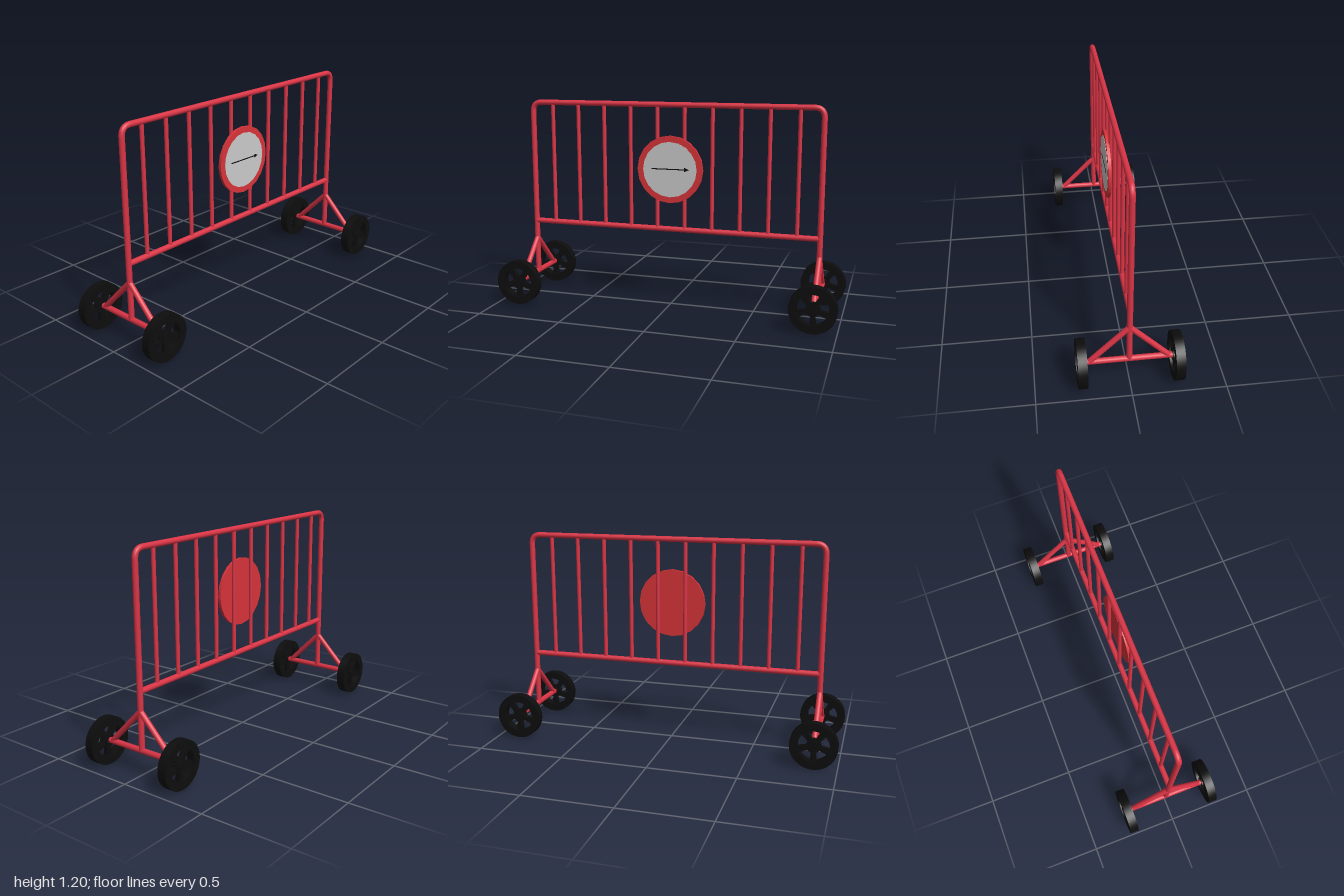
import * as THREE from 'three';
import { toCreasedNormals } from 'three/addons/utils/BufferGeometryUtils.js';

const V = (x, y, z) => new THREE.Vector3(x, y, z);

export function createModel() {
  const model = new THREE.Group();
  const red = new THREE.MeshStandardMaterial({ name: 'red paint', color: 0xd93445 });
  const signRed = new THREE.MeshStandardMaterial({ name: 'sign red', color: 0xd8343a });
  const black = new THREE.MeshStandardMaterial({ name: 'black rubber', color: 0x0d0d0d });
  const grey = new THREE.MeshStandardMaterial({ name: 'sign face grey', color: 0xcbcbcb });

  function add(name, geometry, material, parent = model) {
    const mesh = new THREE.Mesh(geometry, material);
    mesh.name = name;
    parent.add(mesh);
    return mesh;
  }

  // Straight round bar between two points
  function bar(name, a, b, radius) {
    const dir = b.clone().sub(a);
    const mesh = add(name, new THREE.CylinderGeometry(radius, radius, dir.length(), 16), red);
    mesh.position.copy(a).add(b).multiplyScalar(0.5);
    mesh.quaternion.setFromUnitVectors(V(0, 1, 0), dir.normalize());
  }

  // Hoop: two posts joined by a top rail with rounded corners
  const X = 0.867, TOP = 1.183, R = 0.016, C = 0.055, AXLE = 0.135;
  const corner = (s) => new THREE.QuadraticBezierCurve3(
    V(s * X, TOP - C, 0), V(s * X, TOP, 0), V(s * (X - C), TOP, 0));
  for (const s of [-1, 1]) {
    bar('post', V(s * X, AXLE, 0), V(s * X, TOP - C, 0), R);
    add('topCorner', new THREE.TubeGeometry(corner(s), 8, R, 16), red);
  }
  bar('topRail', V(C - X, TOP, 0), V(X - C, TOP, 0), R);
  bar('bottomRail', V(-X, 0.457, 0), V(X, 0.457, 0), R);

  // Upright infill bars
  for (let i = 0; i < 10; i++) {
    const x = (i - 4.5) * 0.164;
    bar('infillBar', V(x, 0.457, 0), V(x, TOP, 0), 0.0115);
  }

  // Wheel shapes: a plain tyre ring and a thinner disc with five openings
  const tyreShape = new THREE.Shape().absarc(0, 0, 0.131, 0, Math.PI * 2, false);
  tyreShape.holes.push(new THREE.Path().absarc(0, 0, 0.088, 0, Math.PI * 2, true));
  const discShape = new THREE.Shape().absarc(0, 0, 0.092, 0, Math.PI * 2, false);
  for (let i = 0; i < 5; i++) {
    const mid = Math.PI / 2 + i * Math.PI * 2 / 5;
    const hole = new THREE.Path();
    hole.absarc(0, 0, 0.086, mid - 0.42, mid + 0.42, false);
    hole.absarc(0, 0, 0.04, mid + 0.3, mid - 0.3, true);
    hole.closePath();
    discShape.holes.push(hole);
  }
  const extrude = (shape, depth, curveSegments) => toCreasedNormals(
    new THREE.ExtrudeGeometry(shape, { depth, curveSegments, bevelEnabled: false })
      .translate(0, 0, -depth / 2), 0.6);
  const tyreGeometry = extrude(tyreShape, 0.05, 20);
  const discGeometry = extrude(discShape, 0.026, 10);
  const hubGeometry = new THREE.CylinderGeometry(0.03, 0.03, 0.046, 16).rotateX(Math.PI / 2);

  // Feet: axle, two slanted braces and two wheels at each end
  for (const sx of [-1, 1]) {
    bar('axle', V(sx * X, AXLE, -0.235), V(sx * X, AXLE, 0.235), R);
    for (const sz of [-1, 1]) {
      bar('brace', V(sx * X, 0.35, 0), V(sx * X, AXLE, sz * 0.212), 0.0155);
      const wheel = new THREE.Group();
      wheel.name = 'wheel';
      wheel.position.set(sx * 0.869, 0.131, sz * 0.252);
      add('tyre', tyreGeometry, black, wheel);
      add('spokes', discGeometry, black, wheel);
      add('hub', hubGeometry, black, wheel);
      model.add(wheel);
    }
  }

  // Round sign on the front of the bars
  const sign = new THREE.Group();
  sign.name = 'sign';
  sign.position.set(0, 0.812, 0);
  model.add(sign);
  const disc = (name, r, z0, z1, material) => add(name,
    new THREE.CylinderGeometry(r, r, z1 - z0, 20).rotateX(Math.PI / 2)
      .translate(0, 0, (z0 + z1) / 2), material, sign);
  disc('signPlate', 0.196, 0.008, 0.025, signRed);
  disc('signFace', 0.161, 0.024, 0.027, grey);

  // Thin painted arrow
  add('arrowShaft', new THREE.BoxGeometry(0.2, 0.006, 0.002), black, sign).position.set(-0.008, 0.003, 0.0275);
  const head = new THREE.Shape([[0.088, -0.009], [0.116, 0.003], [0.088, 0.015]]
    .map(([x, y]) => new THREE.Vector2(x, y)));
  add('arrowHead', new THREE.ShapeGeometry(head), black, sign).position.z = 0.0285;

  return model;
}
